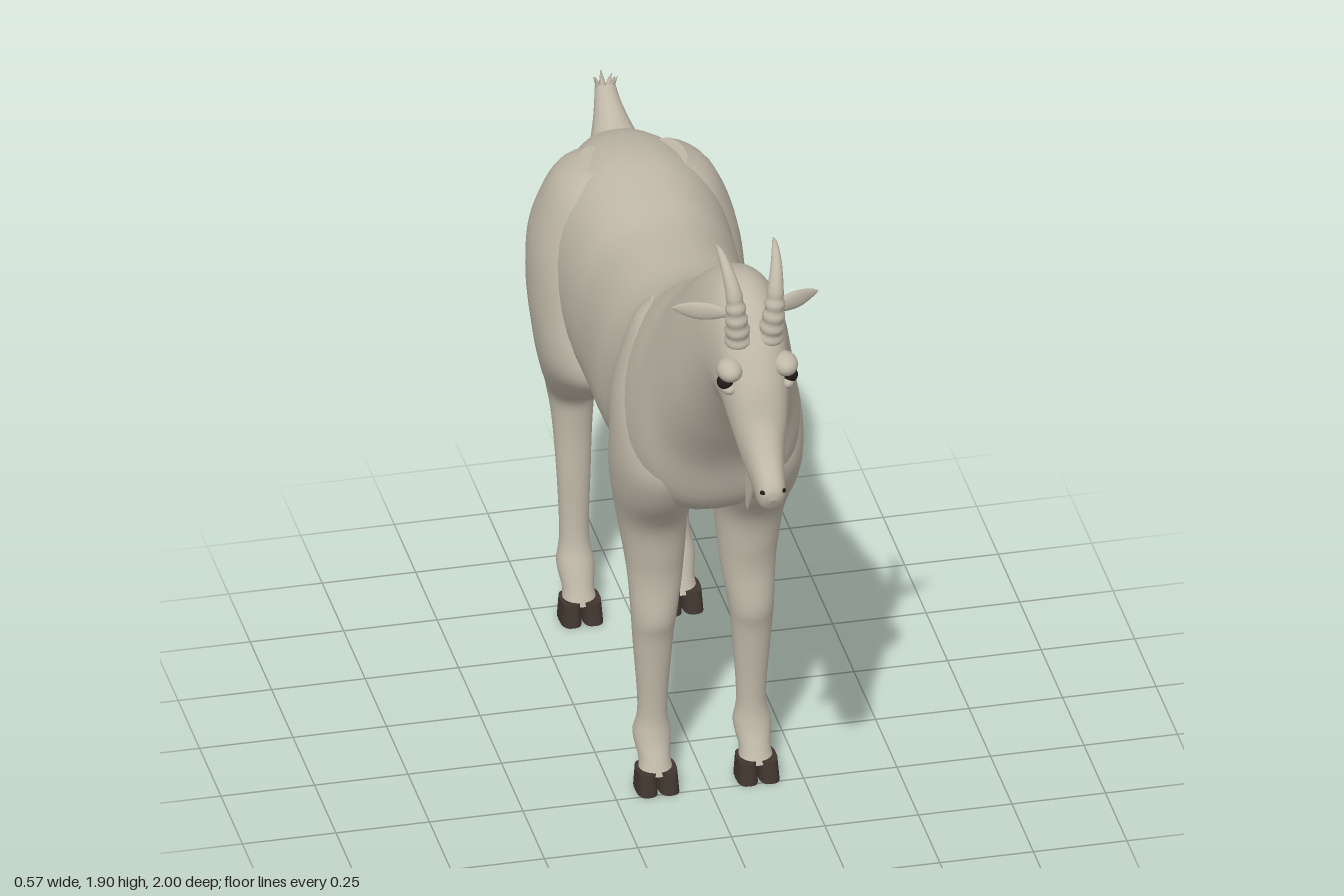
import * as THREE from 'three';

const material = (name, color) => {
  const m = new THREE.MeshStandardMaterial({ color });
  m.name = name;
  return m;
};

// Smoothly interpolates rows of numbers
function smoothRows(rows, steps) {
  const at = i => rows[Math.min(Math.max(i, 0), rows.length - 1)];
  const out = [];
  for (let i = 0; i < rows.length - 1; i++) {
    for (let k = 0; k < steps; k++) {
      const t = k / steps;
      out.push(at(i).map((b, c) => {
        const a = at(i - 1)[c], d = at(i + 1)[c], e = at(i + 2)[c];
        return b + 0.5 * t * (d - a + t * (2 * a - 5 * b + 4 * d - e + t * (3 * (b - d) + e - a)));
      }));
    }
  }
  out.push(at(rows.length - 1));
  return out;
}

// Skins a closed surface over rings; point(ringIndex, angle) returns [x, y, z]
function skin(count, sides, point) {
  const pos = [], index = [];
  for (let i = 0; i < count; i++) {
    for (let j = 0; j < sides; j++) pos.push(...point(i, (j / sides) * Math.PI * 2));
  }
  for (let i = 0; i < count - 1; i++) {
    for (let j = 0; j < sides; j++) {
      const a = i * sides + j, b = i * sides + ((j + 1) % sides);
      index.push(a, b, b + sides, a, b + sides, a + sides);
    }
  }
  // End caps with their own vertices, so that they stay crisp
  for (const [ring, flip] of [[0, true], [count - 1, false]]) {
    const start = pos.length / 3, mid = [0, 0, 0];
    for (let j = 0; j < sides; j++) {
      const p = pos.slice((ring * sides + j) * 3, (ring * sides + j) * 3 + 3);
      p.forEach((v, c) => { mid[c] += v / sides; });
      pos.push(...p);
    }
    pos.push(...mid);
    for (let j = 0; j < sides; j++) {
      const a = start + j, b = start + ((j + 1) % sides);
      index.push(start + sides, flip ? b : a, flip ? a : b);
    }
  }
  const g = new THREE.BufferGeometry();
  g.setAttribute('position', new THREE.Float32BufferAttribute(pos, 3));
  g.setIndex(index);
  g.computeVertexNormals();
  return g;
}

const power = (v, p) => Math.sign(v) * Math.abs(v) ** p;

// Sections standing across the body: [topZ, topY, bottomZ, bottomY, halfWidth, topNarrowing]
function bodyLoft(rows) {
  const r = smoothRows(rows, 5);
  return skin(r.length, 40, (i, a) => {
    const [tz, ty, bz, by, w, k] = r[i], s = power(Math.sin(a), 0.92);
    return [w * power(Math.cos(a), 0.88) * (1 - k * s),
      (ty + by) / 2 + s * (ty - by) / 2, (tz + bz) / 2 + s * (tz - bz) / 2];
  });
}

// Horizontal sections from top to bottom: [y, centreX, radiusX, centreZ, radiusZ]
function legLoft(rows, side, steps = 5, p = 1) {
  const r = smoothRows(rows, steps);
  return skin(r.length, 24, (i, a) => {
    const [y, cx, rx, cz, rz] = r[i];
    return [side * cx + rx * power(Math.cos(a), p), y, cz + rz * power(Math.sin(a), p)];
  });
}

// Tube along points with a radius that depends on t
function taper(points, radius, rings = 24, sides = 14) {
  const curve = new THREE.CatmullRomCurve3(points.map(p => new THREE.Vector3(...p)));
  const f = curve.computeFrenetFrames(rings);
  return skin(rings + 1, sides, (i, a) => {
    const r = radius(i / rings);
    return curve.getPointAt(i / rings).addScaledVector(f.normals[i], r * Math.cos(a))
      .addScaledVector(f.binormals[i], r * Math.sin(a)).toArray();
  });
}

export function createModel() {
  const coat = material('coat', 0xbfb8a8);
  const hoofMat = material('hoof', 0x40362f);
  const dark = material('eye', 0x1f1a17);
  const model = new THREE.Group();
  model.name = 'goat';

  const add = (name, geometry, mat = coat) => {
    const m = new THREE.Mesh(geometry, mat);
    m.name = name;
    model.add(m);
    return m;
  };
  const ball = (name, x, y, z, rx, ry, rz, mat = coat) => {
    const m = add(name, new THREE.SphereGeometry(1, 24, 16), mat);
    m.position.set(x, y, z);
    m.scale.set(rx, ry, rz);
    return m;
  };

  // Torso, neck and head in one run from rump to muzzle
  add('body', bodyLoft([
    [-0.905, 1.25, -0.9, 1.14, 0.03, 0],
    [-0.88, 1.34, -0.86, 1.02, 0.11, 0],
    [-0.82, 1.38, -0.79, 0.92, 0.17, 0],
    [-0.72, 1.415, -0.68, 0.87, 0.22, 0.02],
    [-0.58, 1.435, -0.54, 0.85, 0.24, 0.04],
    [-0.42, 1.42, -0.38, 0.83, 0.235, 0.05],
    [-0.28, 1.405, -0.26, 0.815, 0.228, 0.05],
    [-0.1, 1.42, -0.1, 0.81, 0.23, 0.05],
    [0.02, 1.44, 0.03, 0.82, 0.222, 0.06],
    [0.12, 1.475, 0.16, 0.825, 0.228, 0.12],
    [0.2, 1.53, 0.29, 0.875, 0.228, 0.18],
    [0.28, 1.58, 0.39, 0.95, 0.212, 0.2],
    [0.36, 1.64, 0.45, 1.1, 0.186, 0.18],
    [0.45, 1.71, 0.54, 1.235, 0.158, 0.15],
    [0.54, 1.755, 0.62, 1.345, 0.132, 0.12],
    [0.62, 1.77, 0.7, 1.432, 0.112, 0.12],
    [0.71, 1.745, 0.755, 1.425, 0.098, 0.08],
    [0.78, 1.68, 0.795, 1.385, 0.088, 0],
    [0.85, 1.575, 0.83, 1.34, 0.072, 0],
    [0.885, 1.48, 0.865, 1.3, 0.056, 0],
    [0.935, 1.405, 0.91, 1.268, 0.044, -0.05],
    [0.98, 1.36, 0.95, 1.258, 0.038, 0],
    [0.998, 1.335, 0.975, 1.268, 0.028, 0],
    [1, 1.31, 0.99, 1.29, 0.01, 0],
  ]));

  // Tail with a small tuft
  const tail = [[0, 1.29, -0.83], [0, 1.34, -0.89], [0, 1.39, -0.945], [0, 1.425, -0.972]];
  add('tail', taper(tail, t => 0.085 - 0.085 * t + 0.028 * t * t));
  for (let i = 0; i < 7; i++) {
    const a = i * 0.9, x = 0.022 * Math.cos(a), z = 0.018 * Math.sin(a);
    add('tailTuft', taper([[x * 0.6, 1.4, -0.965 + z * 0.6], [x, 1.43, -0.972 + z],
      [x * 1.5, 1.45 + 0.012 * (i % 2), -0.97 + z * 1.3]], t => 0.013 * (1 - t) + 0.001, 6, 6));
  }

  for (const s of [1, -1]) {
    const side = s > 0 ? 'left' : 'right';

    // Legs including shoulder and thigh
    add(side + 'FrontLeg', legLoft([
      [1.42, 0.1, 0.03, 0.13, 0.05],
      [1.36, 0.11, 0.075, 0.15, 0.11],
      [1.2, 0.125, 0.115, 0.18, 0.165],
      [1.05, 0.135, 0.118, 0.205, 0.19],
      [0.93, 0.132, 0.115, 0.18, 0.17],
      [0.8, 0.13, 0.095, 0.14, 0.104],
      [0.68, 0.125, 0.08, 0.14, 0.078],
      [0.6, 0.125, 0.071, 0.15, 0.062],
      [0.5, 0.13, 0.06, 0.16, 0.062],
      [0.42, 0.132, 0.053, 0.157, 0.049],
      [0.22, 0.132, 0.039, 0.153, 0.038],
      [0.14, 0.134, 0.05, 0.152, 0.05],
      [0.085, 0.134, 0.042, 0.183, 0.044],
      [0.05, 0.134, 0.046, 0.2, 0.045],
    ], s));
    add(side + 'HindLeg', legLoft([
      [1.4, 0.1, 0.04, -0.64, 0.08],
      [1.34, 0.115, 0.1, -0.645, 0.15],
      [1.2, 0.135, 0.135, -0.645, 0.21],
      [1.06, 0.145, 0.139, -0.62, 0.245],
      [0.92, 0.147, 0.13, -0.57, 0.246],
      [0.82, 0.145, 0.112, -0.605, 0.18],
      [0.73, 0.14, 0.087, -0.69, 0.132],
      [0.65, 0.137, 0.066, -0.768, 0.074],
      [0.56, 0.135, 0.054, -0.77, 0.051],
      [0.4, 0.134, 0.045, -0.757, 0.039],
      [0.22, 0.134, 0.039, -0.75, 0.038],
      [0.14, 0.134, 0.05, -0.737, 0.052],
      [0.085, 0.134, 0.042, -0.706, 0.044],
      [0.05, 0.134, 0.046, -0.69, 0.045],
    ], s));

    // Cloven hooves: two toes each
    for (const [part, z] of [['FrontHoof', 0.205], ['HindHoof', -0.683]]) {
      for (const toe of [-1, 1]) {
        const x = 0.134 + toe * 0.028;
        add(side + part, legLoft([
          [0.06, x, 0.025, z, 0.044],
          [0, x + toe * 0.001, 0.028, z + 0.003, 0.053],
        ], s, 1, 0.7), hoofMat);
      }
    }

    // Horn sweeping up and back, ringed near the base
    const horn = [[0.042, 1.66, 0.762], [0.05, 1.74, 0.776], [0.056, 1.81, 0.77],
      [0.066, 1.865, 0.735], [0.073, 1.893, 0.69], [0.077, 1.896, 0.655]];
    add(side + 'Horn', taper(horn.map(([x, y, z]) => [s * x, y, z]),
      t => 0.033 * (1 - t) ** 0.75 + 0.002 + (t < 0.45 ? 0.0025 * Math.sin(t * 56) : 0), 56));

    // Leaf-shaped ear
    const ear = smoothRows([[0.06, 0.715, 0.012, 0.008], [0.1, 0.7, 0.024, 0.011],
      [0.14, 0.685, 0.025, 0.01], [0.175, 0.668, 0.014, 0.006], [0.197, 0.658, 0.001, 0.001]], 4);
    add(side + 'Ear', skin(ear.length, 14, (i, a) => {
      const [x, z, h, d] = ear[i];
      return [s * x, 1.722 + h * Math.sin(a), z - s * d * Math.cos(a)];
    }));

    // Eye with brow and lower lid
    ball(side + 'Brow', s * 0.074, 1.6, 0.8, 0.034, 0.03, 0.045);
    ball(side + 'Lid', s * 0.077, 1.55, 0.798, 0.022, 0.02, 0.034);
    ball(side + 'Eye', s * 0.086, 1.567, 0.802, 0.022, 0.02, 0.025, dark);

    // Nostril
    ball(side + 'Nostril', s * 0.027, 1.328, 0.985, 0.008, 0.006, 0.008, dark);
  }

  // Beard of tapering strands under the jaw
  for (let i = 0; i < 9; i++) {
    const x = ((i % 3) - 1) * 0.013, row = Math.floor(i / 3), z = 0.825 - row * 0.02;
    const tip = 1.15 + 0.03 * ((i * 2) % 3) + (row === 0 ? 0.01 : 0);
    add('beard', taper([[x * 0.6, 1.38, z + 0.004], [x, 1.29, z - 0.008], [x * 1.4, tip, 0.76 + (2 - row) * 0.007]],
      t => 0.014 * Math.sqrt(Math.max(0, 1 - t)) + 0.001, 10, 8));
  }
  return model;
}
